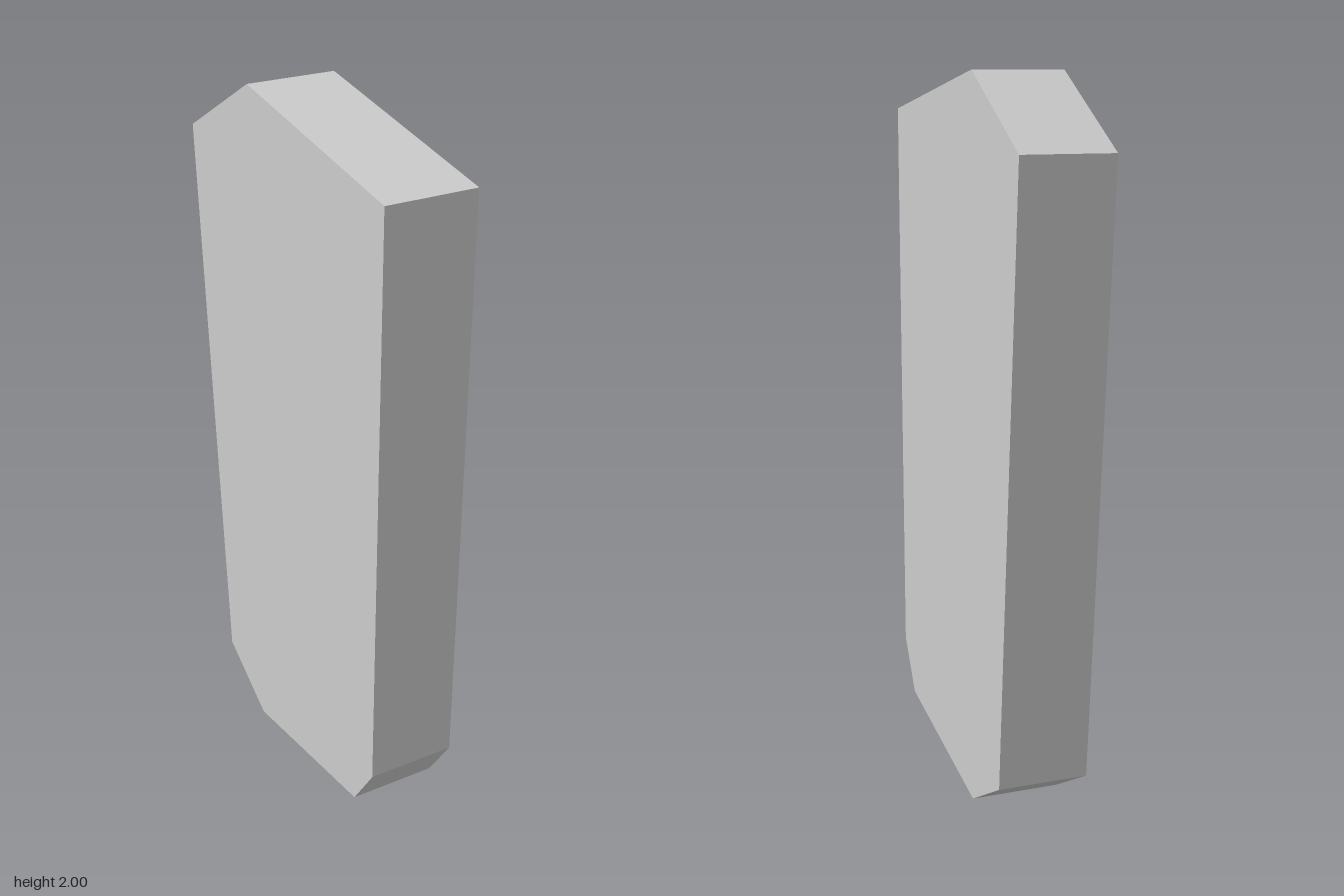
import * as THREE from 'three';

// Side outline of the slab as [z, y] corners, counter-clockwise
const OUTLINE = [
  [-0.155, 0], [-0.373, 0.13], [-0.508, 1.805], [-0.165, 2],
  [0.508, 1.893], [0.508, 0.245], [0.414, 0.097],
];
const WIDTH = 0.252;

export function createModel() {
  const group = new THREE.Group();
  group.name = 'facetedSlab';

  // Extrude the outline, centre it, then turn it so its profile lies in z-y
  const shape = new THREE.Shape(OUTLINE.map(([z, y]) => new THREE.Vector2(z, y)));
  const geometry = new THREE.ExtrudeGeometry(shape, { depth: WIDTH, bevelEnabled: false });
  geometry.translate(0, 0, -WIDTH / 2);
  geometry.rotateY(-Math.PI / 2);

  const slab = new THREE.Mesh(
    geometry,
    new THREE.MeshStandardMaterial({ color: 0xcccccc, flatShading: true }),
  );
  slab.name = 'slab';
  group.add(slab);
  return group;
}
